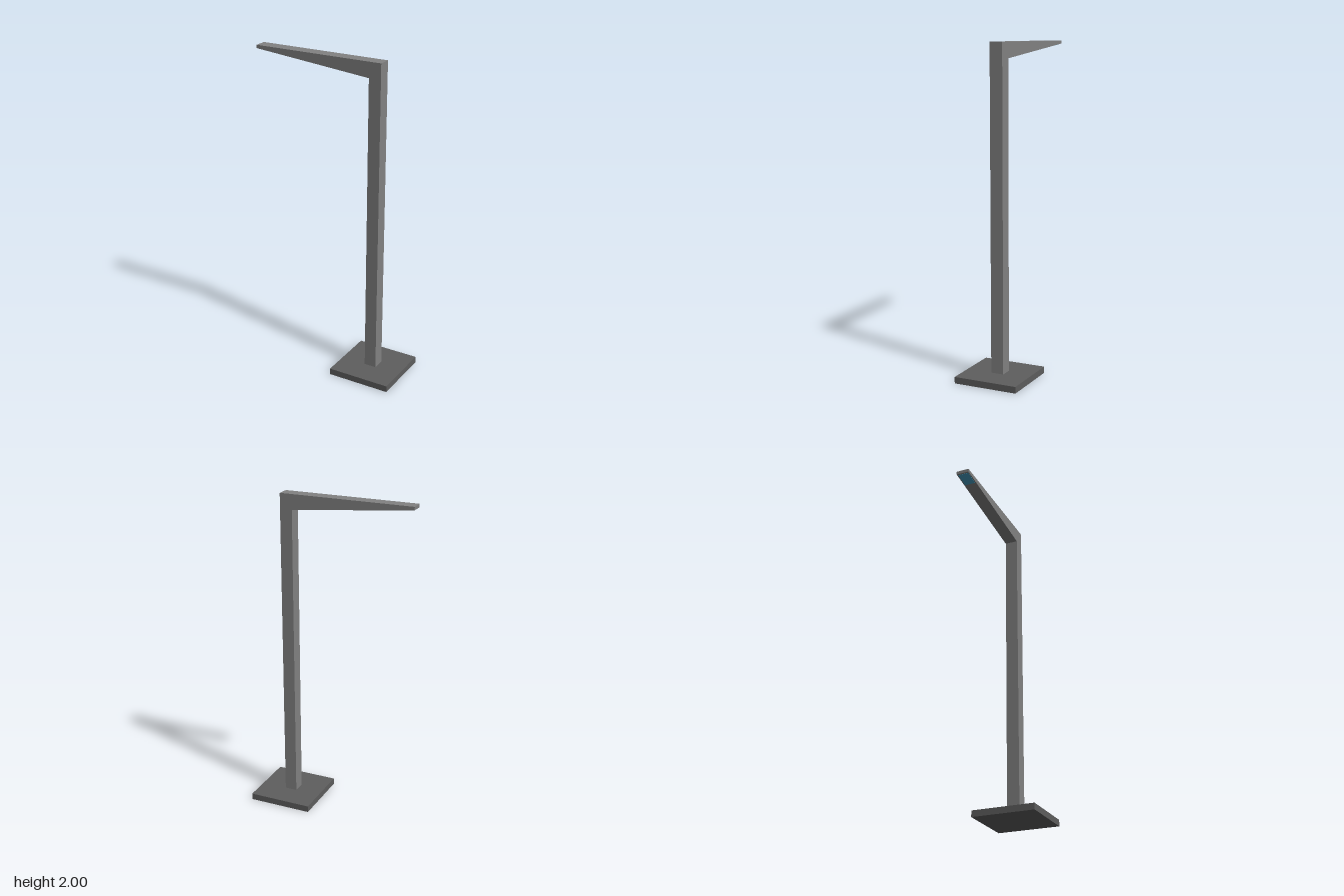
import * as THREE from 'three';

const flat = (name, color) => {
  const m = new THREE.MeshStandardMaterial({ color });
  m.name = name;
  return m;
};

export function createModel() {
  const grey = flat('poleGrey', 0x828282);
  const dark = flat('baseDarkGrey', 0x5e5e5e);
  const blue = flat('lampBlue', 0x469fc3);
  const group = new THREE.Group();
  group.name = 'streetLamp';
  const add = (name, geometry, material) => {
    const mesh = new THREE.Mesh(geometry, material);
    mesh.name = name;
    group.add(mesh);
    return mesh;
  };

  // square foot plate
  add('base', new THREE.BoxGeometry(0.4, 0.04, 0.4), dark).position.set(0.3, 0.02, 0);

  // post and tapering arm as one bent profile
  const tip = new THREE.Vector2(-0.5, 1.98);
  const elbow = new THREE.Vector2(0.26, 1.905);
  const profile = new THREE.Shape([
    new THREE.Vector2(0.26, 0.04), new THREE.Vector2(0.337, 0.04),
    new THREE.Vector2(0.337, 2), new THREE.Vector2(-0.5, 2), tip, elbow,
  ]);
  const pole = new THREE.ExtrudeGeometry(profile, { depth: 0.08, bevelEnabled: false });
  add('postAndArm', pole.translate(0, 0, -0.04), grey);

  // thin light panel lying along the sloped underside near the tip
  const slope = elbow.clone().sub(tip).normalize();
  const centre = tip.clone().addScaledVector(slope, 0.06);
  const lamp = add('lightPanel', new THREE.BoxGeometry(0.1, 0.004, 0.068), blue);
  lamp.position.set(centre.x, centre.y, 0);
  lamp.rotation.z = Math.atan2(slope.y, slope.x);

  return group;
}
